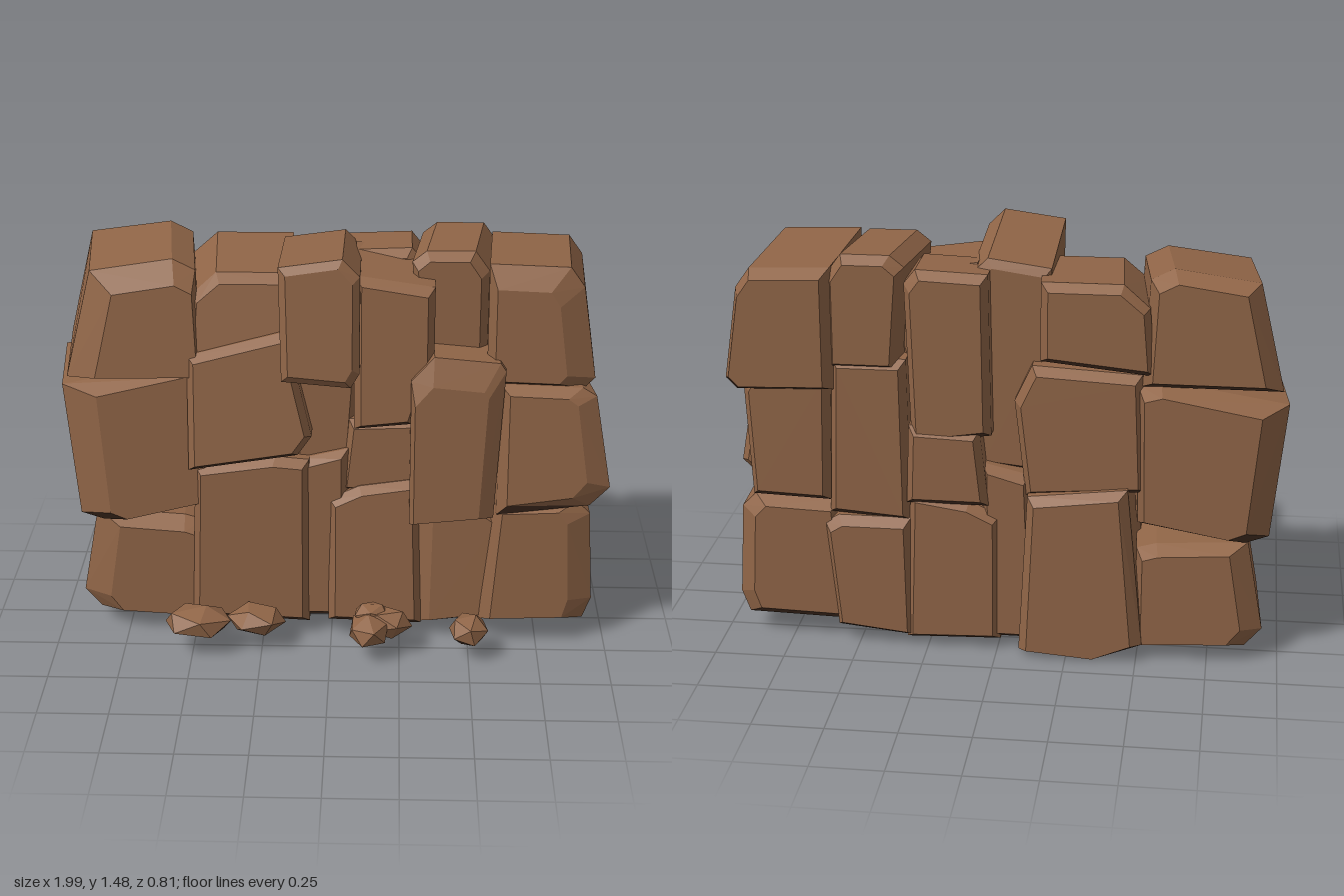
import * as THREE from 'three';
import { ConvexGeometry } from 'three/addons/geometries/ConvexGeometry.js';

const rock = new THREE.MeshStandardMaterial({ color: 0x906547 });
rock.name = 'brown rock';
const darkRock = new THREE.MeshStandardMaterial({ color: 0x4c3426 });
darkRock.name = 'dark underside rock';

// Gives the undersides of a faceted stone the dark rock colour.
function stoneMesh(parent, name, geometry) {
  const normals = geometry.attributes.normal;
  for (let i = 0; i < normals.count; i += 3) {
    geometry.addGroup(i, 3, normals.getY(i) < -0.6 ? 1 : 0);
  }
  const mesh = new THREE.Mesh(geometry, [rock, darkRock]);
  mesh.name = name;
  parent.add(mesh);
  return mesh;
}

// Chamfered stone block: outline in x,y, depth from back to front.
// face / rear = insets of the front and back faces (-x, +x, bottom, top),
// rise / skew = how much y / x grow toward the front,
// lean = front slope going up, yaw = front slope along x.
const EVEN = [0.025, 0.025, 0.025, 0.03];
function block(parent, name, outline, back, front,
  { bevel = 0.035, rise = 0, skew = 0, lean = 0, yaw = 0, face = EVEN, rear = EVEN } = {}) {
  const corners = [];
  for (let i = 0; i < outline.length; i += 2) corners.push(new THREE.Vector2(outline[i], outline[i + 1]));
  const { min, max } = new THREE.Box2().setFromPoints(corners);
  const midX = (min.x + max.x) / 2, midY = (min.y + max.y) / 2, midZ = (back + front) / 2;
  const points = [];
  const ring = (z, [l, r, b, t], sloped) => {
    for (const c of corners) {
      const x = THREE.MathUtils.mapLinear(c.x, min.x, max.x, min.x + l, max.x - r);
      const y = THREE.MathUtils.mapLinear(c.y, min.y, max.y, min.y + b, max.y - t);
      const slope = sloped ? yaw * (x - midX) - lean * (y - midY) : 0;
      points.push(new THREE.Vector3(x + (z - midZ) * skew, y + (z - midZ) * rise, z + slope));
    }
  };
  ring(back, rear, false);
  ring(back + bevel, [0, 0, 0, 0], false);
  ring(front - bevel, [0, 0, 0, 0], true);
  ring(front, face, true);
  stoneMesh(parent, name, new ConvexGeometry(points));
}

function row(parent, name) {
  const group = new THREE.Group();
  group.name = name;
  parent.add(group);
  return group;
}

export function createModel() {
  const model = new THREE.Group();
  model.name = 'stoneWall';

  // Bottom course
  const low = row(model, 'bottomCourse');
  block(low, 'bottomRightEndBlock', [-0.93, 0.13, -0.87, 0.06, -0.48, 0.04, -0.48, 0.42, -0.55, 0.44, -0.87, 0.46],
    -0.37, 0.13, { bevel: 0.06, rise: 0.04, skew: 0.06, face: [0.1, 0.02, 0.01, 0.05], rear: [0.08, 0.02, 0.03, 0.03] });
  block(low, 'bottomWideBlock', [-0.51, 0.06, -0.08, 0.04, -0.08, 0.69, -0.2, 0.7, -0.49, 0.66],
    -0.2, 0.17, { rise: 0.07 });
  block(low, 'bottomWideBackBlock', [-0.52, 0.07, -0.36, 0.01, -0.08, 0.03, -0.11, 0.62, -0.46, 0.66],
    -0.41, -0.1, { rise: 0.05, rear: [0.04, 0.03, 0.01, 0.03] });
  block(low, 'bottomNarrowBlock', [-0.14, 0.05, 0.06, 0.05, 0.06, 0.72, -0.11, 0.68], -0.34, 0.14, { rise: 0.06 });
  block(low, 'bottomCentreBlock', [-0.01, 0.05, 0.33, 0.04, 0.31, 0.61, 0.1, 0.58, -0.01, 0.53],
    -0.36, 0.17, { rise: 0.06, lean: 0.04 });
  block(low, 'bottomSlimBlock', [0.3, 0.04, 0.58, 0.07, 0.62, 0.47, 0.57, 0.5, 0.31, 0.5],
    -0.36, 0.16, { rise: 0.04, face: [0.06, 0.03, 0.02, 0.02] });
  block(low, 'bottomLeftEndBlock', [0.53, 0.07, 0.92, 0.08, 0.95, 0.16, 0.93, 0.5, 0.88, 0.55, 0.58, 0.54],
    -0.33, 0.2, { bevel: 0.05, rise: 0.04, face: [0.05, 0.09, 0.02, 0.03], rear: [0.03, 0.06, 0.04, 0.03] });

  // Middle course
  const middle = row(model, 'middleCourse');
  block(middle, 'middleRightEndBlock', [-0.93, 0.48, -0.85, 0.45, -0.47, 0.51, -0.46, 1.02, -0.54, 1.04, -0.98, 0.97],
    -0.39, 0.17, { bevel: 0.08, skew: 0.11, lean: 0.06, yaw: -0.12,
      face: [0.12, 0.02, 0.03, 0.03], rear: [0.1, 0.02, 0.04, 0.04] });
  block(middle, 'middleWideBlock', [-0.51, 0.67, -0.12, 0.73, -0.07, 0.8, -0.16, 1.18, -0.51, 1.09], -0.22, 0.18,
    { lean: 0.1 });
  block(middle, 'middleWideBackBlock', [-0.52, 0.63, -0.1, 0.6, -0.06, 0.95, -0.12, 1.08, -0.5, 1.06],
    -0.36, -0.1, { lean: 0.05 });
  block(middle, 'recessedUpperBlock', [-0.14, 0.66, 0.07, 0.68, 0.1, 1.08, -0.14, 1.08], -0.28, 0.09);
  block(middle, 'recessedLowerBlock', [0.03, 0.56, 0.32, 0.56, 0.31, 0.85, 0.06, 0.84], -0.38, 0.12);
  block(middle, 'tallBlock', [0.28, 0.48, 0.58, 0.51, 0.61, 1.07, 0.59, 1.1, 0.36, 1.12, 0.28, 1.03],
    -0.15, 0.235, { face: [0.015, 0.06, 0.015, 0.1] });
  block(middle, 'tallBackBlock', [0.31, 0.48, 0.6, 0.5, 0.58, 1.08, 0.32, 1.08], -0.35, -0.1);
  block(middle, 'middleLeftEndBlock', [0.57, 0.52, 0.9, 0.56, 0.97, 0.63, 0.91, 0.97, 0.86, 1, 0.57, 1.01],
    -0.22, 0.22, { bevel: 0.04, skew: 0.12, lean: 0.06, face: [0.03, 0.09, 0.05, 0.03] });
  block(middle, 'middleLeftBackBlock', [0.6, 0.54, 0.88, 0.55, 0.9, 0.97, 0.87, 1.02, 0.59, 1.02], -0.34, -0.16);

  // Top course
  const top = row(model, 'topCourse');
  block(top, 'topRightEndBlock', [-0.96, 1.01, -0.48, 1.01, -0.5, 1.39, -0.58, 1.43, -0.87, 1.39],
    -0.4, 0.14, { bevel: 0.07, rise: -0.06, skew: 0.1, lean: 0.1, yaw: -0.05,
      face: [0.1, 0.02, 0.02, 0.07], rear: [0.07, 0.03, 0.03, 0.04] });
  block(top, 'topWideBlock', [-0.53, 1.06, -0.14, 1.1, -0.14, 1.38, -0.42, 1.38, -0.51, 1.3],
    -0.4, 0.1, { rise: -0.05, skew: 0.06, lean: 0.18 });
  block(top, 'jutBlock', [-0.17, 1.03, 0.07, 1.01, 0.1, 1.06, 0.1, 1.4, 0.04, 1.46, -0.18, 1.43],
    -0.28, 0.275, { bevel: 0.02, rise: 0.09, lean: 0.1 });
  block(top, 'topCentreBlock', [0.08, 0.84, 0.28, 0.86, 0.36, 1.1, 0.36, 1.36, 0.08, 1.4],
    -0.25, 0.18, { rise: -0.04, lean: 0.06 });
  block(top, 'topCentreBackBlock', [0.02, 0.82, 0.3, 0.78, 0.32, 1.36, 0.28, 1.41, 0.03, 1.4], -0.37, -0.1);
  block(top, 'topSlimBlock', [0.33, 1.04, 0.57, 1.04, 0.57, 1.38, 0.52, 1.45, 0.35, 1.45, 0.3, 1.41],
    -0.35, 0.06, { skew: -0.12 });
  block(top, 'topLeftEndBlock', [0.56, 0.98, 0.9, 0.97, 0.94, 1.01, 0.89, 1.34, 0.84, 1.41, 0.56, 1.42],
    -0.39, 0.165, { bevel: 0.05, rise: 0.05, skew: -0.06, lean: 0.04, face: [0.03, 0.1, 0.03, 0.08] });

  // Loose stones along the front foot: position, radii, turn
  const rubble = row(model, 'looseStones');
  const stones = [
    [-0.48, 0.12, 0.28, 0.13, 0.06, 0.1, 0.3],
    [-0.27, 0.11, 0.24, 0.11, 0.055, 0.09, 1.1],
    [0.14, 0.11, 0.31, 0.08, 0.06, 0.1, 0.6],
    [0.2, 0.12, 0.27, 0.1, 0.06, 0.07, 2.0],
    [0.15, 0.15, 0.26, 0.07, 0.04, 0.06, 1.5],
    [0.5, 0.11, 0.3, 0.075, 0.06, 0.085, 0.2],
  ];
  for (const [x, y, z, rx, ry, rz, turn] of stones) {
    const geometry = new THREE.IcosahedronGeometry(1, 0).rotateZ(turn).rotateY(turn);
    stoneMesh(rubble, 'looseStone', geometry.scale(rx, ry, rz)).position.set(x, y, z);
  }
  return model;
}
